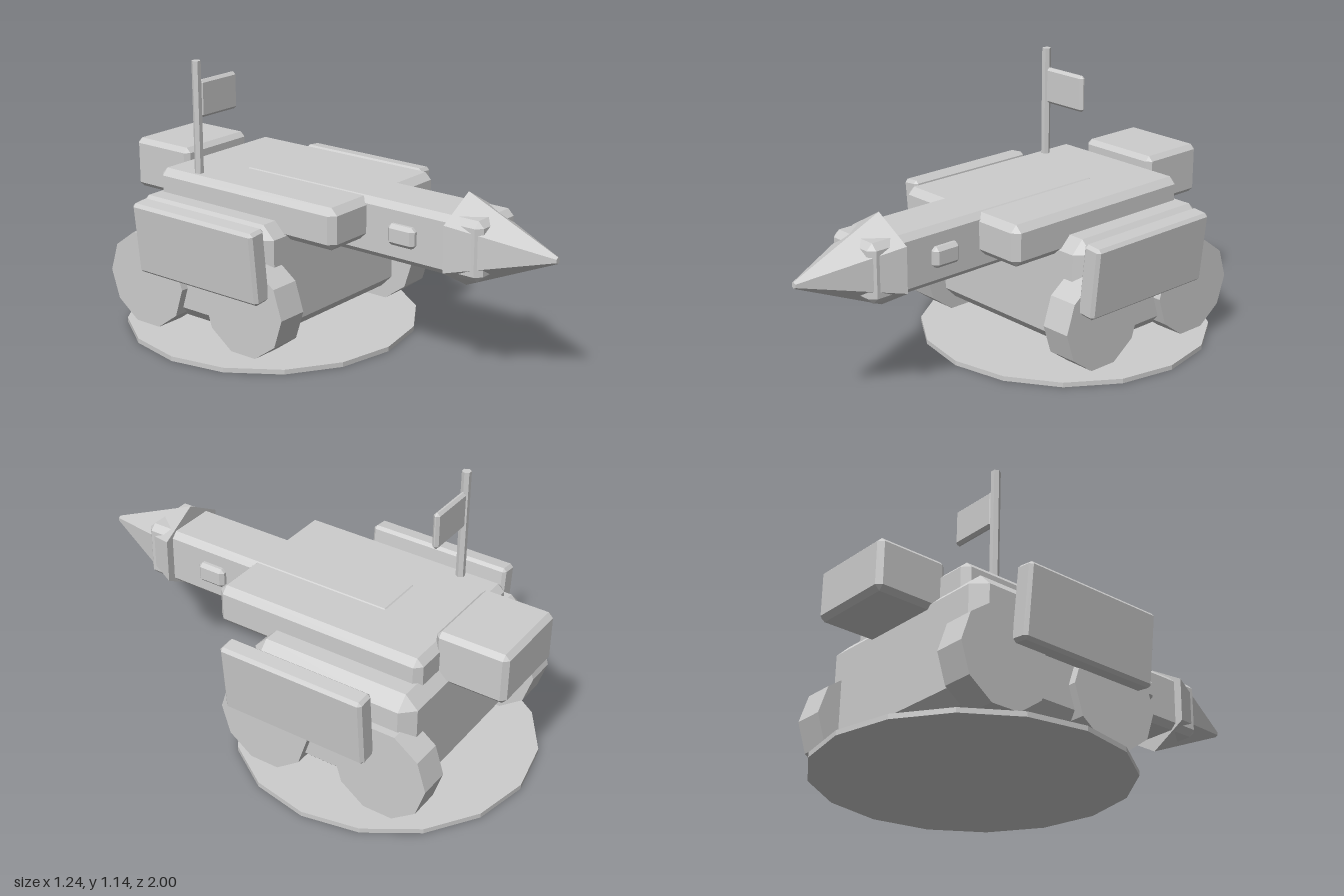
import * as THREE from 'three';
import { ConvexGeometry } from 'three/addons/geometries/ConvexGeometry.js';

export function createModel() {
  const model = new THREE.Group();
  model.name = 'toyTank';
  const grey = new THREE.MeshStandardMaterial({ color: 0xcccccc, flatShading: true });
  grey.name = 'plain grey';

  function add(name, geometry, x, y, z) {
    const mesh = new THREE.Mesh(geometry, grey);
    mesh.name = name;
    mesh.position.set(x, y, z);
    model.add(mesh);
    return mesh;
  }

  // Box with every edge and corner cut at 45 degrees
  function chamferBox(w, h, d, c) {
    const points = [];
    for (const sx of [-1, 1]) for (const sy of [-1, 1]) for (const sz of [-1, 1]) {
      for (let axis = 0; axis < 3; axis++) {
        const inset = [c, c, c];
        inset[axis] = 0;
        points.push(new THREE.Vector3(
          sx * (w / 2 - inset[0]), sy * (h / 2 - inset[1]), sz * (d / 2 - inset[2])));
      }
    }
    return new ConvexGeometry(points);
  }

  // Display base
  add('baseDisc', new THREE.CylinderGeometry(0.618, 0.618, 0.02, 16), 0, 0.01, -0.382);

  // Body
  add('hull', chamferBox(0.91, 0.475, 0.73, 0.053), 0, 0.3425, -0.385);
  add('upperDeck', chamferBox(0.666, 0.17, 0.925, 0.028), 0, 0.592, -0.248);
  add('rearBox', chamferBox(0.376, 0.215, 0.305, 0.02), 0, 0.62, -0.835);

  // Barrel, its side lugs and the pointed tip
  add('barrel', chamferBox(0.25, 0.24, 1.18, 0.025), 0, 0.561, 0.152);
  add('barrelLugs', chamferBox(0.306, 0.085, 0.126, 0.015), 0, 0.5625, 0.393);
  const tip = new THREE.CylinderGeometry(0.013, 0.188, 0.396, 6).rotateX(Math.PI / 2);
  add('pointedTip', tip, 0, 0.5625, 0.802);

  // Wheels and leaning side plates
  const wheel = new THREE.CylinderGeometry(0.203, 0.203, 0.13, 10).rotateZ(Math.PI / 2);
  const plate = chamferBox(0.083, 0.3, 0.634, 0.013);
  for (const side of [-1, 1]) {
    add('frontWheel', wheel, side * 0.423, 0.247, -0.115);
    add('rearWheel', wheel, side * 0.423, 0.247, -0.643);
    add('sidePlate', plate, side * 0.526, 0.459, -0.297).rotation.z = -side * 0.1;
  }

  // Flag
  const pole = new THREE.CylinderGeometry(0.019, 0.019, 0.5, 6).rotateY(Math.PI / 2);
  add('flagPole', pole, -0.277, 0.893, -0.528);
  add('flag', chamferBox(0.215, 0.155, 0.028, 0.011), -0.16, 0.983, -0.528);

  return model;
}
